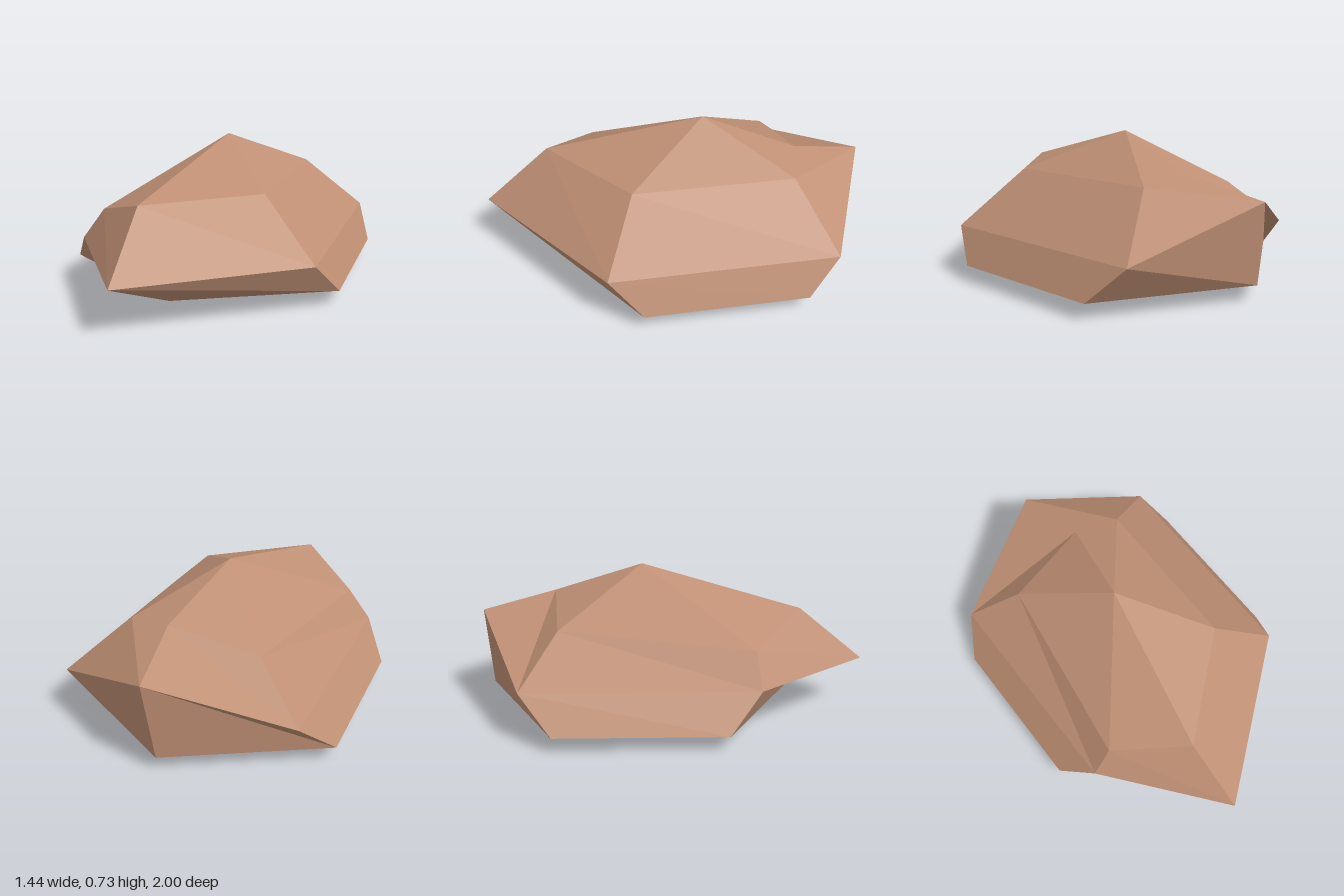
import * as THREE from 'three';

// Six-sided rings, bottom to top: front, front +x, back +x, back, back -x, front -x
const RINGS = [
  [[0, 0.077, 0.66], [0.72, 0.077, 0.26], [0.72, 0.077, -0.56], [0, 0.077, -0.96], [-0.72, 0.077, -0.56], [-0.72, 0.077, 0.26]],
  [[-0.13, 0.245, 1], [0.635, 0.245, 0.42], [0.635, 0.245, -0.725], [0.03, 0.475, -1], [-0.59, 0.245, -0.725], [-0.59, 0.245, 0.42]],
  [[-0.15, 0.525, 0.66], [0.335, 0.525, 0.26], [0.335, 0.525, -0.56], [0.1, 0.565, -0.62], [-0.34, 0.467, -0.56], [-0.475, 0.405, 0.4]],
];
const BOTTOM = [0, 0, -0.15];
const TOP = [0, 0.73, -0.15];

function boulderGeometry() {
  const points = [];
  const tri = (a, b, c) => points.push(...a, ...b, ...c);
  for (let i = 0; i < 6; i++) {
    const j = (i + 1) % 6;
    // underside and crown fans
    tri(BOTTOM, RINGS[0][j], RINGS[0][i]);
    tri(TOP, RINGS[2][i], RINGS[2][j]);
    // side facets between neighbouring rings
    for (let r = 0; r < 2; r++) {
      const low = RINGS[r], high = RINGS[r + 1];
      tri(low[i], low[j], high[i]);
      tri(low[j], high[j], high[i]);
    }
  }
  const geometry = new THREE.BufferGeometry();
  geometry.setAttribute('position', new THREE.Float32BufferAttribute(points, 3));
  geometry.computeVertexNormals(); // unshared corners give flat facets
  return geometry;
}

export function createModel() {
  const stone = new THREE.MeshStandardMaterial({ color: 0xbf8f74, flatShading: true });
  stone.name = 'brown stone';
  const boulder = new THREE.Mesh(boulderGeometry(), stone);
  boulder.name = 'boulder';
  const group = new THREE.Group();
  group.name = 'rock';
  group.add(boulder);
  return group;
}
